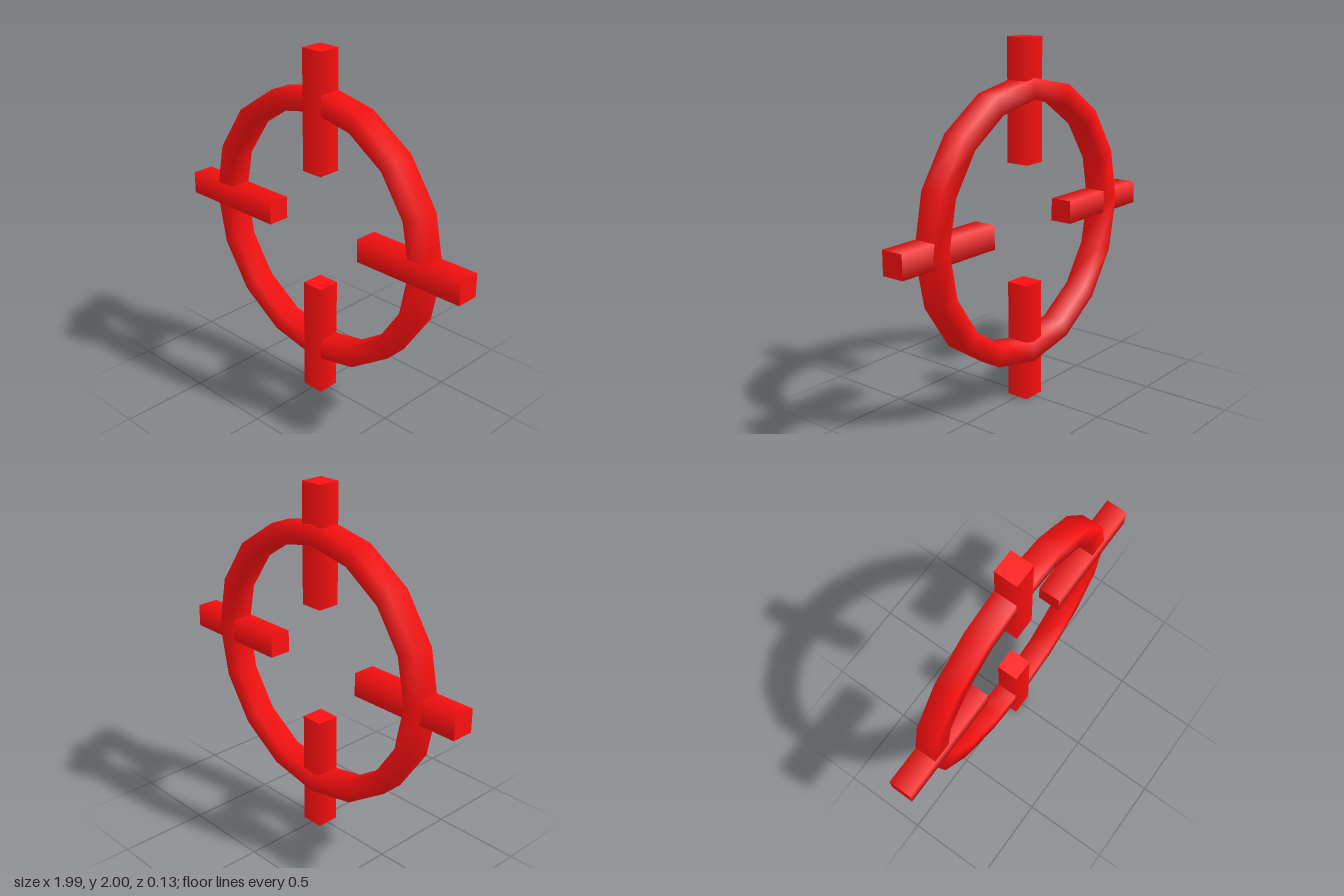
import * as THREE from 'three';
import { mergeVertices } from 'three/addons/utils/BufferGeometryUtils.js';

export function createModel() {
  const model = new THREE.Group();
  model.name = 'crosshair';
  const red = new THREE.MeshStandardMaterial({ color: 0xff1010 });

  // Sixteen-sided ring with a rectangular section, softly shaded
  const inner = 0.675, outer = 0.788, half = 0.065;
  const section = [[outer, -half], [outer, half], [inner, half], [inner, -half], [outer, -half]]
    .map(([r, y]) => new THREE.Vector2(r, y));
  let ringGeometry = new THREE.LatheGeometry(section, 16);
  ringGeometry.deleteAttribute('normal');
  ringGeometry.deleteAttribute('uv');
  ringGeometry = mergeVertices(ringGeometry, 1e-4);
  ringGeometry.computeVertexNormals();
  ringGeometry.rotateX(Math.PI / 2);
  const ring = new THREE.Mesh(ringGeometry, red);
  ring.name = 'ring';
  ring.position.set(0, 1, -0.002);
  model.add(ring);

  // Four square bars crossing the ring, with rounded shading on their sides
  const radius = 0.065 * Math.SQRT2;
  const bars = [
    ['topBar', 0, 1, 0.667],
    ['bottomBar', 0, -1, 0.667],
    ['leftBar', 1, 0, 0.663],
    ['rightBar', -1, 0, 0.663],
  ];
  for (const [name, dx, dy, distance] of bars) {
    const geometry = new THREE.CylinderGeometry(radius, radius, 0.666, 4, 1, false, Math.PI / 4);
    const bar = new THREE.Mesh(geometry, red);
    bar.name = name;
    bar.rotation.z = dx ? Math.PI / 2 : 0;
    bar.position.set(dx * distance, 1 + dy * distance, 0.002);
    model.add(bar);
  }
  return model;
}
